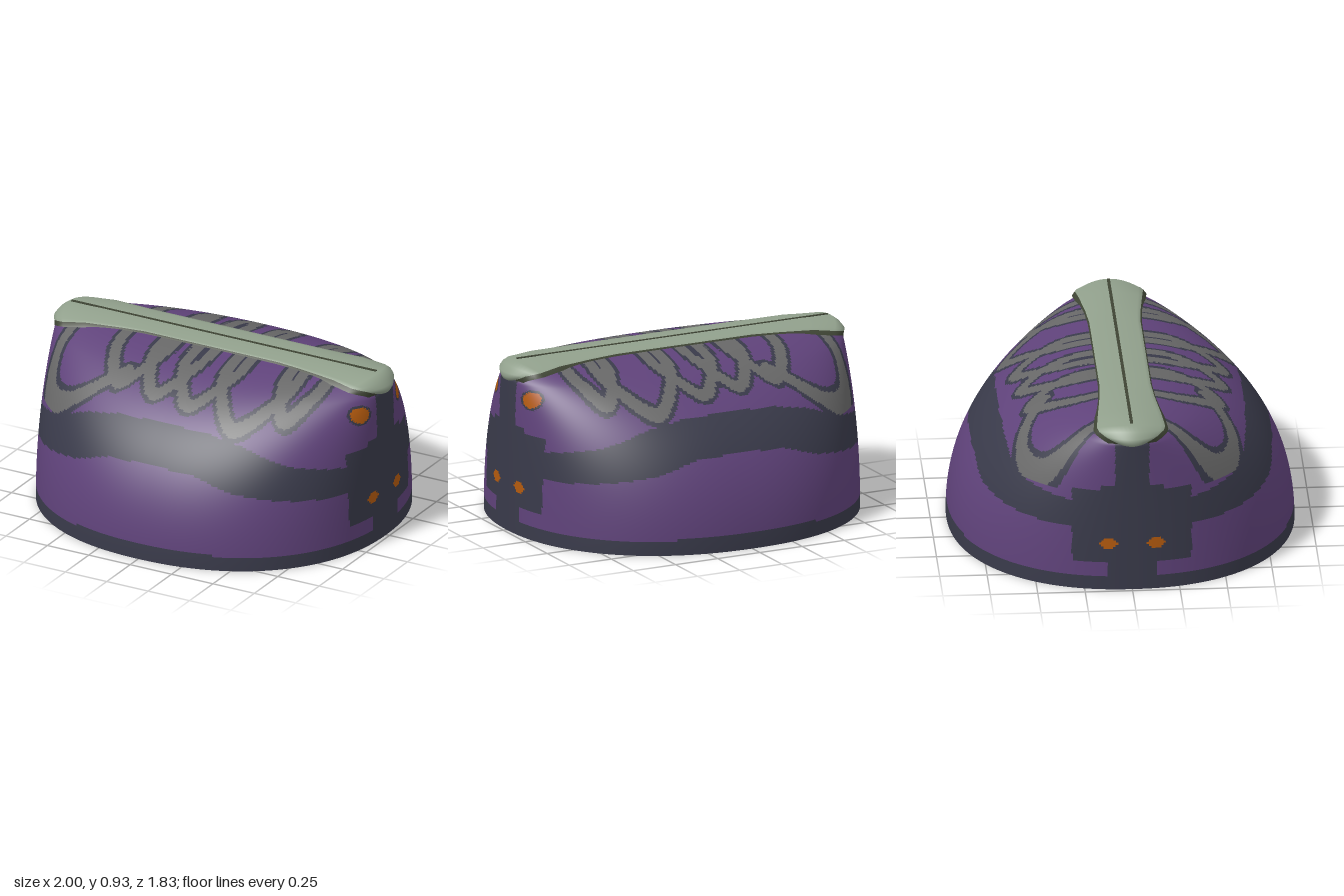
import * as THREE from 'three';

const mat = (name, color) => {
  const m = new THREE.MeshStandardMaterial({ color, side: THREE.DoubleSide });
  m.name = name;
  return m;
};

// Piecewise linear lookup through [key, value] pairs
const lerpTable = (table, k) => {
  for (let i = 1; i < table.length; i++) {
    const [a, va] = table[i - 1], [b, vb] = table[i];
    if (k <= b) return va + (vb - va) * (k - a) / (b - a);
  }
  return table[table.length - 1][1];
};

// Indexed geometry with one group per material index
function groupedGeometry(positions, lists) {
  const g = new THREE.BufferGeometry();
  g.setAttribute('position', new THREE.Float32BufferAttribute(positions, 3));
  g.setIndex(lists.flat());
  let start = 0;
  lists.forEach((l, m) => { g.addGroup(start, l.length, m); start += l.length; });
  g.computeVertexNormals();
  return g;
}

// Looping cord, seen from above as (x, |z|)
const arch = (x0, x1, z) => [[x0, 0.1], [x0 + 0.02, z * 0.62], [(x0 + x1) / 2, z], [x1 - 0.02, z * 0.62], [x1, 0.1]];
const cords = [
  [[-0.8, 0.12], [-0.83, 0.33], [-0.78, 0.47], [-0.66, 0.55], [-0.54, 0.55], [-0.42, 0.49], [-0.34, 0.42]],
  arch(-0.5, -0.2, 0.5),
  arch(-0.27, 0.03, 0.53),
  arch(-0.07, 0.26, 0.55),
  arch(0.18, 0.58, 0.59),
  arch(0.5, 0.73, 0.46),
].map(c => new THREE.CatmullRomCurve3(c.map(p => new THREE.Vector3(p[0], p[1], 0))).getPoints(36)).flat();

const bandTop = [[0, 0.68], [0.25, 0.675], [0.47, 0.635], [0.7, 0.55], [0.95, 0.49]];
const bandLow = [[0, 0.495], [0.25, 0.485], [0.47, 0.415], [0.7, 0.375], [0.95, 0.345]];
const PURPLE = 0, DARK = 1, GREY = 2, ORANGE = 3;

// Which colour the fabric has at a point
function fabricColour(x, y, z) {
  const ax = Math.abs(x), az = Math.abs(z);
  if (ax > 0.7) {
    // oval studs on the ends
    const low = Math.hypot((az - 0.125) / 0.046, (y - 0.265) / 0.03);
    const high = x > 0 ? Math.hypot((az - 0.195) / 0.052, (y - 0.75) / 0.042) : 9;
    if (Math.min(low, high) < 1) return ORANGE;
    if (high < 1.25) return DARK;
    // end panel with its necks
    if (az < 0.315 && y > 0.157 && y < 0.565) return DARK;
    if (az < 0.135 && y < 0.17) return DARK;
    if (az < (y < 0.59 ? 0.17 : 0.09) && y > 0.5) return DARK;
  }
  if (y < lerpTable([[0, 0.09], [0.5, 0.08], [1, 0.07]], ax)) return DARK;
  if (y < lerpTable(bandTop, ax) && y > lerpTable(bandLow, ax)) return DARK;
  if (y > 0.55 && az < 0.68) {
    let d = 9;
    for (const p of cords) d = Math.min(d, Math.hypot(p.x - x, p.y - az));
    if (d < 0.032) return GREY;
    if (d < 0.052) return DARK;
  }
  return PURPLE;
}

// Open shell: oval at the rim, narrowing to a ridge along x at the top
function shellGeometry() {
  const N = 480, M = 116, H = 0.918, D = 0.915;
  const pow = (v, e) => Math.sign(v) * Math.pow(Math.abs(v), e);
  const pos = [], lists = [[], [], [], []];
  for (let j = 0; j <= M; j++) {
    const a = j / M * Math.PI / 2;
    const y = H * pow(Math.sin(a), 0.93);
    const s = D * pow(Math.max(0, Math.cos(a)), 0.93);
    const w = 0.98 - 0.05 * THREE.MathUtils.smoothstep(y, 0.82, H);
    for (let i = 0; i < N; i++) {
      const t = i / N * Math.PI * 2;
      pos.push(w * pow(Math.cos(t), 0.909), y, s * pow(Math.sin(t), 0.909));
    }
  }
  for (let j = 0; j < M; j++) for (let i = 0; i < N; i++) {
    const k = (i + 1) % N;
    const a = j * N + i, b = j * N + k, c = b + N, d = a + N;
    const mid = n => (pos[a * 3 + n] + pos[b * 3 + n] + pos[c * 3 + n] + pos[d * 3 + n]) / 4;
    lists[fabricColour(mid(0), mid(1), mid(2))].push(a, d, b, b, d, c);
  }
  return groupedGeometry(pos, lists);
}

// Raised ridge strip: stations of centre x, y, half width, edge x, y
function stripGeometry() {
  const half = [
    [0.965, 0.812, 0.02, 0.96, 0.815], [0.99, 0.825, 0.08, 0.968, 0.838],
    [1.0, 0.845, 0.115, 0.955, 0.853], [0.997, 0.867, 0.14, 0.945, 0.867],
    [0.97, 0.9, 0.17, 0.91, 0.88], [0.935, 0.925, 0.18, 0.87, 0.887],
    [0.75, 0.93, 0.167, 0.75, 0.905], [0.55, 0.93, 0.145, 0.55, 0.913], [0.4, 0.93, 0.135, 0.4, 0.918],
  ];
  const rows = [...half.map(([x, y, w, ex, ey]) => [-x, y, w, -ex, ey]),
    [0, 0.93, 0.135, 0, 0.918], ...half.slice().reverse()];
  const U = 16, W = U + 3, pos = [], lists = [[], []];
  for (const [x, y, w, ex, ey] of rows) {
    const skirt = s => pos.push(ex * 0.99, ey - 0.02, s * (w + 0.017));
    skirt(-1);
    for (let i = 0; i <= U; i++) {
      const u = i / U * 2 - 1;
      pos.push(x + (ex - x) * u * u, y + (ey - y) * u * u, w * u);
    }
    skirt(1);
  }
  for (let r = 0; r < rows.length - 1; r++) for (let i = 0; i < W - 1; i++) {
    const a = r * W + i;
    lists[i === 0 || i === W - 2 ? 1 : 0].push(a, a + 1, a + W, a + 1, a + W + 1, a + W);
  }
  return groupedGeometry(pos, lists);
}

export function createModel() {
  const purple = mat('purple fabric', 0x5f427a);
  const dark = mat('dark slate trim', 0x393a4a);
  const grey = mat('grey cord', 0x676767);
  const orange = mat('orange stud', 0xb35a0e);
  const green = mat('pale green strip', 0x91a08c);
  const olive = mat('dark olive edge', 0x3e4434);

  const group = new THREE.Group();
  group.name = 'cap';
  const add = (name, geometry, material) => {
    const m = new THREE.Mesh(geometry, material);
    m.name = name;
    group.add(m);
    return m;
  };
  add('shell', shellGeometry(), [purple, dark, grey, orange]);
  add('ridgeStrip', stripGeometry(), [green, olive]);
  // dark seam along the ridge
  add('ridgeSeam', new THREE.BoxGeometry(1.84, 0.004, 0.016), olive).position.y = 0.93;
  return group;
}
